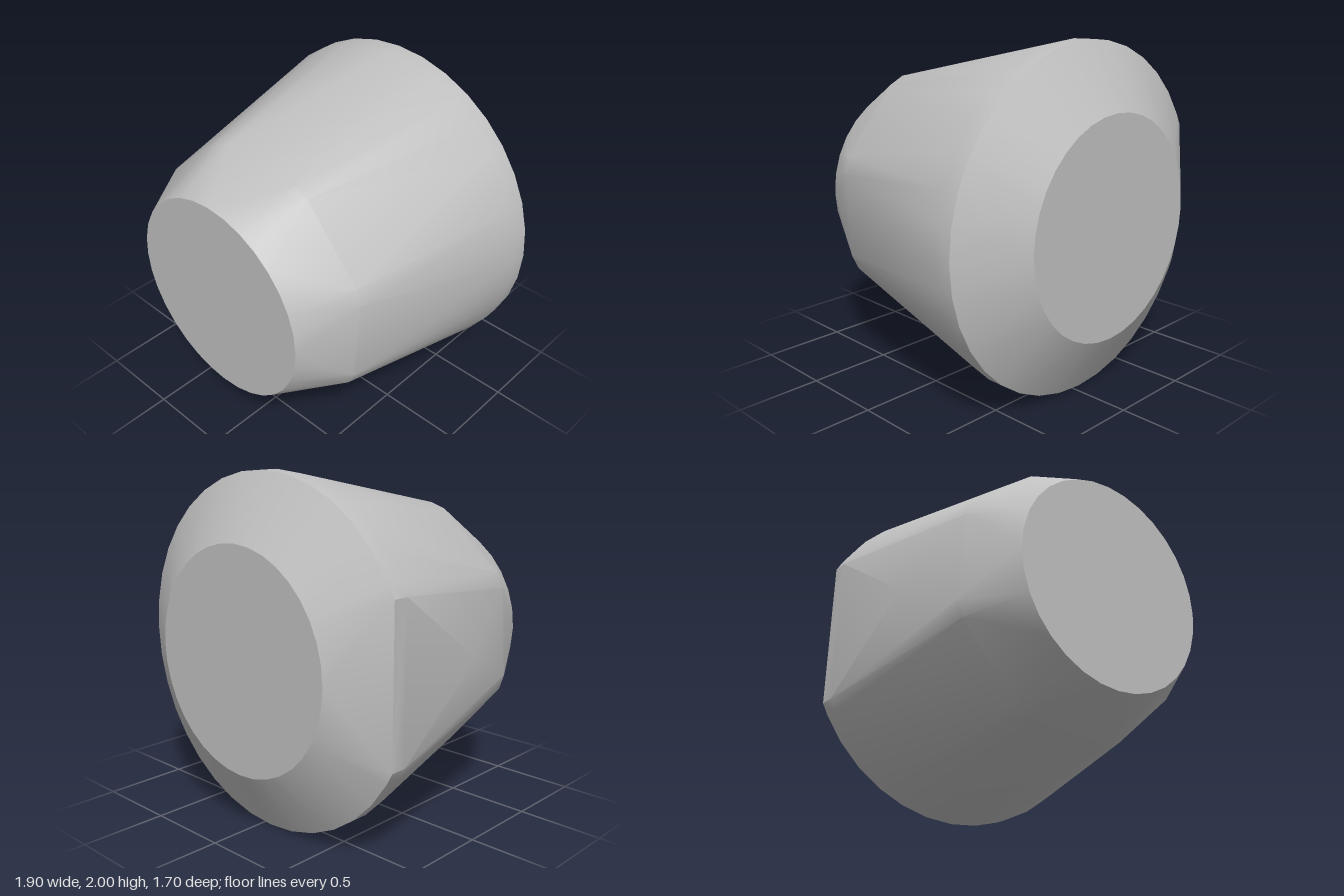
import * as THREE from 'three';
import { ConvexGeometry } from 'three/addons/geometries/ConvexGeometry.js';
import { toCreasedNormals } from 'three/addons/utils/BufferGeometryUtils.js';

const CX = -0.05, CY = 1, FLAT_X = -0.95;

const polar = (r, degrees, z) => {
  const a = THREE.MathUtils.degToRad(degrees);
  return new THREE.Vector3(CX + r * Math.cos(a), CY + r * Math.sin(a), z);
};

// A round section with evenly spaced points
const ring = (r, z, sides) =>
  Array.from({ length: sides }, (_, i) => polar(r, (i * 360) / sides, z));

// The widest section, cut straight along one side
const cutRing = (z) => {
  const half = Math.sqrt(1 - (FLAT_X - CX) ** 2);
  return [
    ...ring(1, z, 36).filter((p) => p.x > FLAT_X),
    new THREE.Vector3(FLAT_X, CY + half, z),
    new THREE.Vector3(FLAT_X, CY - half, z),
  ];
};

export function createModel() {
  const group = new THREE.Group();
  group.name = 'taperedKnob';
  const grey = new THREE.MeshStandardMaterial({ color: 0xc0c0c0 });
  grey.name = 'grey';

  // Shoulder: eight narrow ridges with broad flats between them
  const shoulder = [];
  for (let i = 0; i < 8; i++) {
    shoulder.push(polar(0.793, 15 + i * 45, 0.53), polar(0.793, 22 + i * 45, 0.53));
  }

  // Body: hull over the sections from back to front
  const points = [
    ...ring(0.635, -0.85, 36),
    ...cutRing(-0.635),
    ...cutRing(-0.54),
    new THREE.Vector3(-0.91, CY, 0.1), // end of the side flat
    ...shoulder,
    ...ring(0.61, 0.85, 32),
  ];
  const body = new THREE.Mesh(toCreasedNormals(new ConvexGeometry(points), 0.4), grey);
  body.name = 'knobBody';
  group.add(body);
  return group;
}
